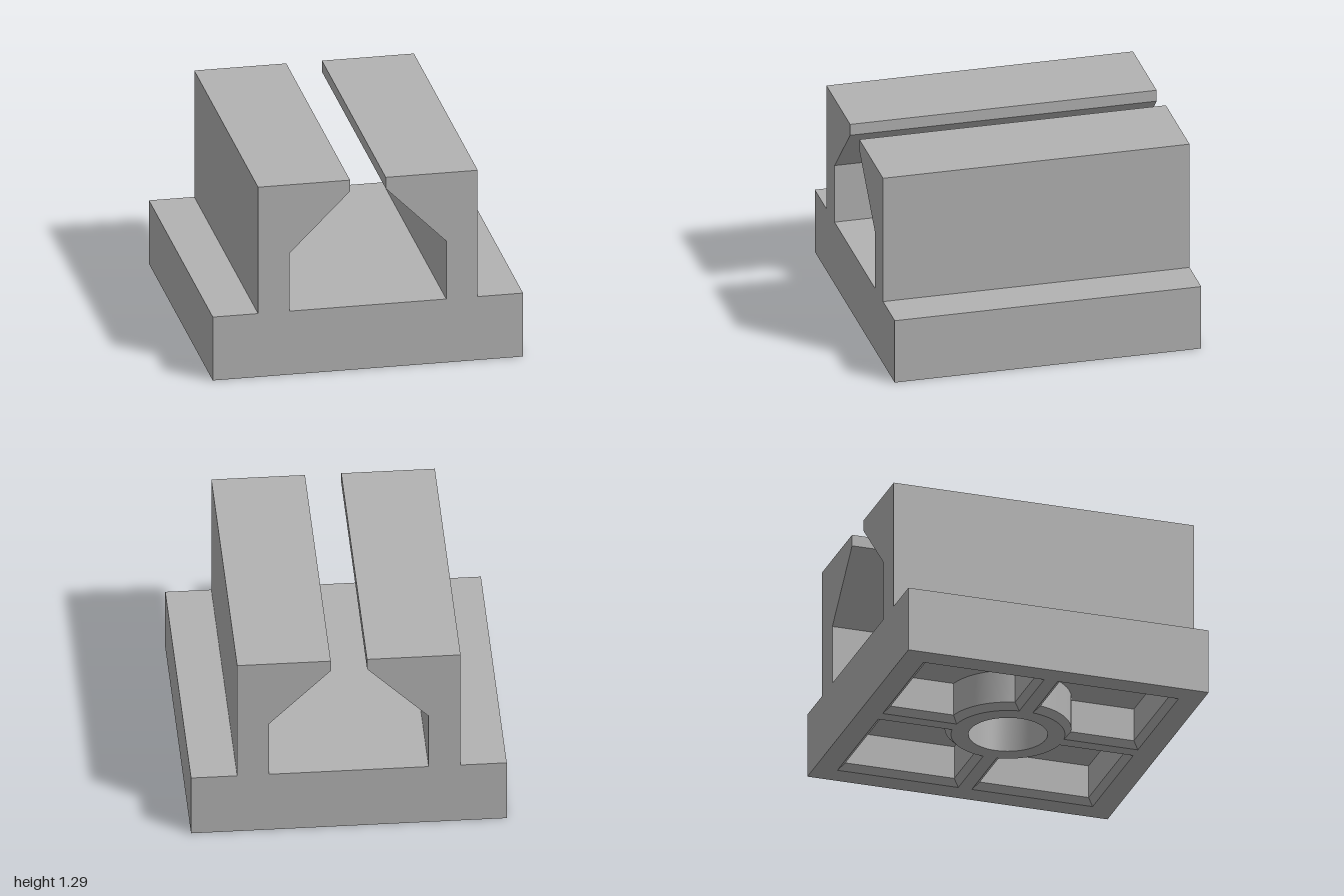
import * as THREE from 'three';
import { toCreasedNormals } from 'three/addons/utils/BufferGeometryUtils.js';

const POCKET_DEPTH = 0.26;
const CHAMFER = 0.04;
const BORE_RADIUS = 0.25;

// Wall swept through levels of matching closed outlines: [{ y, pts }]
function wall(levels) {
  const pos = [];
  for (let l = 0; l < levels.length - 1; l++) {
    const lo = levels[l], hi = levels[l + 1], n = lo.pts.length;
    for (let i = 0; i < n; i++) {
      const j = (i + 1) % n;
      const a = [lo.pts[i].x, lo.y, lo.pts[i].y], b = [lo.pts[j].x, lo.y, lo.pts[j].y];
      const c = [hi.pts[j].x, hi.y, hi.pts[j].y], d = [hi.pts[i].x, hi.y, hi.pts[i].y];
      pos.push(...a, ...b, ...c, ...a, ...c, ...d);
    }
  }
  const g = new THREE.BufferGeometry();
  g.setAttribute('position', new THREE.Float32BufferAttribute(pos, 3));
  return toCreasedNormals(g, 0.5);
}

// Quarter pocket outline (x, z), shrunk by inset and turned by quarter turns
function pocketOutline(inset, turns) {
  const w = 0.045 + inset, s = 0.85 - inset, r = 0.36 + inset;
  const pts = [[s, w], [s, s], [w, s]];
  const low = Math.asin(w / r), high = Math.PI / 2 - low, steps = 16;
  for (let i = 0; i <= steps; i++) {
    const t = high + (low - high) * i / steps;
    pts.push([r * Math.cos(t), r * Math.sin(t)]);
  }
  const centre = new THREE.Vector2();
  return pts.map(([x, z]) => new THREE.Vector2(x, z).rotateAround(centre, turns * Math.PI / 2));
}

function circleOutline(r, n = 64) {
  return Array.from({ length: n }, (_, i) => {
    const t = i / n * Math.PI * 2;
    return new THREE.Vector2(r * Math.cos(t), r * Math.sin(t));
  });
}

export function createModel() {
  const group = new THREE.Group();
  const grey = new THREE.MeshStandardMaterial({ color: 0xb2b2b2 });
  const add = (name, geometry) => {
    const mesh = new THREE.Mesh(geometry, grey);
    mesh.name = name;
    group.add(mesh);
  };

  // Base slab and the two overhanging rails in one profile
  const half = [[1, POCKET_DEPTH], [1, 0.432], [0.708, 0.432], [0.708, 1.293],
    [0.115, 1.293], [0.115, 1.217], [0.505, 0.827], [0.505, 0.432]];
  const mirrored = half.map(([x, y]) => [-x, y]).reverse();
  const profile = new THREE.Shape([...half, ...mirrored].map(p => new THREE.Vector2(...p)));
  const body = new THREE.ExtrudeGeometry(profile, { depth: 2, bevelEnabled: false });
  body.translate(0, 0, -1);
  add('railBody', body);

  // Outer skirt of the base
  const square = [[1, 1], [1, -1], [-1, -1], [-1, 1]].map(p => new THREE.Vector2(...p));
  add('baseSkirt', wall([{ y: 0, pts: square }, { y: POCKET_DEPTH, pts: square }]));

  // Underside face: frame, cross ribs and central ring
  const underside = new THREE.Shape(square);
  for (let k = 0; k < 4; k++) underside.holes.push(new THREE.Path(pocketOutline(0, k)));
  underside.holes.push(new THREE.Path(circleOutline(BORE_RADIUS)));
  add('undersideFrame', new THREE.ShapeGeometry(underside).rotateX(Math.PI / 2));

  // Four chamfered pockets
  for (let k = 0; k < 4; k++) {
    const inner = pocketOutline(CHAMFER, k);
    add('pocketWall', wall([
      { y: 0, pts: pocketOutline(0, k) },
      { y: CHAMFER, pts: inner },
      { y: POCKET_DEPTH, pts: inner },
    ]));
  }

  // Central blind bore
  const bore = circleOutline(BORE_RADIUS);
  add('centreBore', wall([{ y: 0, pts: bore }, { y: POCKET_DEPTH, pts: bore }]));

  return group;
}
